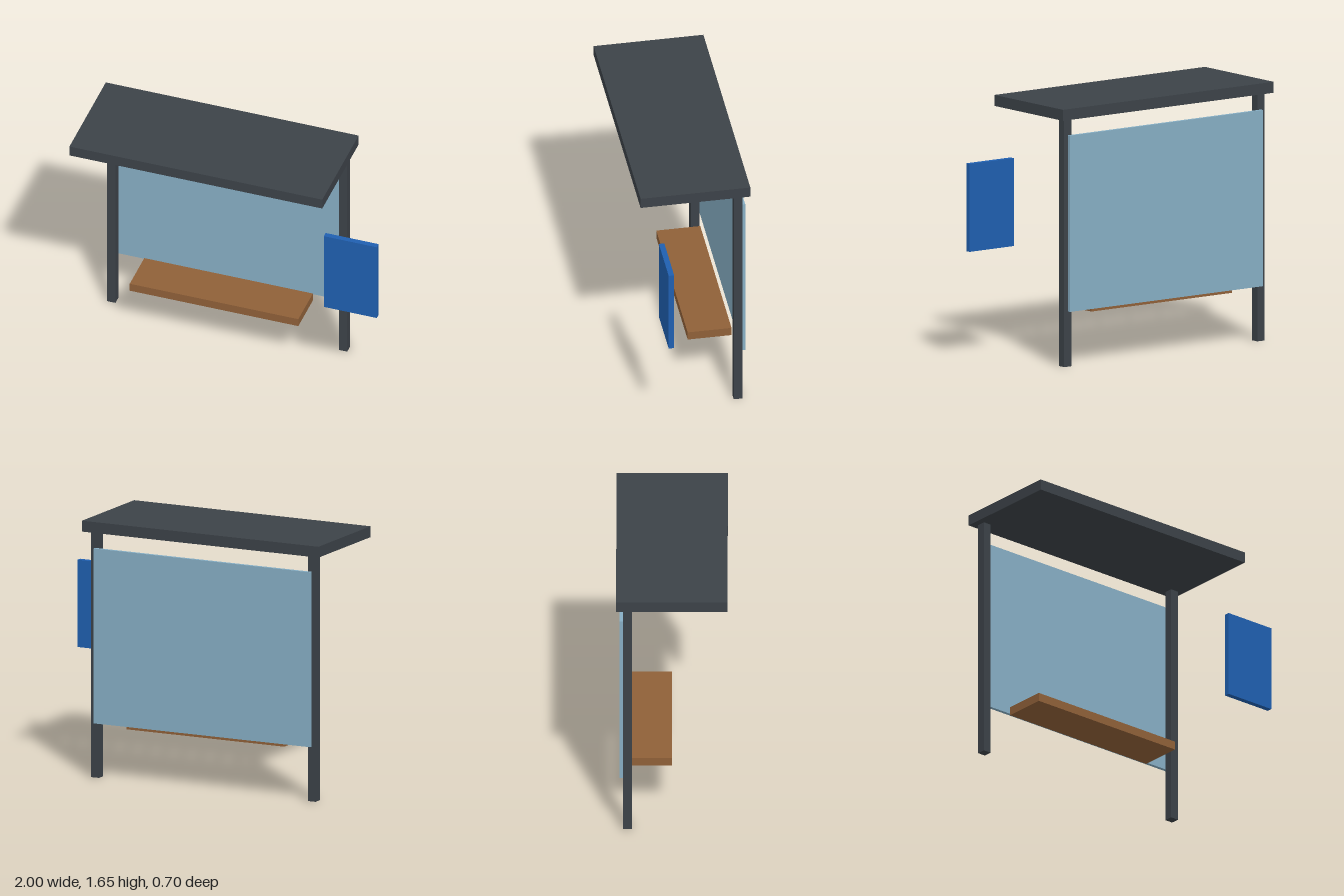
import * as THREE from 'three';

export function createModel() {
  const model = new THREE.Group();
  model.name = 'shelter';

  const mat = (name, color) => {
    const m = new THREE.MeshStandardMaterial({ color });
    m.name = name;
    return m;
  };
  const steel = mat('dark steel', 0x3c4248);
  const glass = mat('pale blue glass', 0x86aec4);
  const blue = mat('sign blue', 0x1f5fb0);
  const wood = mat('bench wood', 0x8f6038);

  // Box given by its extents along each axis
  const box = (name, material, [x0, x1], [y0, y1], [z0, z1]) => {
    const mesh = new THREE.Mesh(new THREE.BoxGeometry(x1 - x0, y1 - y0, z1 - z0), material);
    mesh.position.set((x0 + x1) / 2, (y0 + y1) / 2, (z0 + z1) / 2);
    mesh.name = name;
    model.add(mesh);
  };

  // The shelter is centred on this x; the sign stands off to its left
  const cx = -0.16, postOffset = 0.77, postHalf = 0.028;

  box('roof', steel, [cx - 0.84, cx + 0.84], [1.58, 1.65], [-0.35, 0.35]);

  // Two rear posts
  for (const side of [-1, 1]) {
    const x = cx + side * postOffset;
    box(side < 0 ? 'rightPost' : 'leftPost', steel,
      [x - postHalf, x + postHalf], [0, 1.58], [-0.308, -0.252]);
  }

  // Glass panel fixed behind the posts
  box('backPanel', glass, [cx - postOffset, cx + postOffset], [0.352, 1.475], [-0.33, -0.308]);

  // Bench running forward from the post line
  box('bench', wood, [cx - 0.56, cx + 0.56], [0.325, 0.38], [-0.28, 0]);

  // Sign panel beside the shelter
  box('signPanel', blue, [0.648, 1], [0.705, 1.265], [0.193, 0.228]);

  return model;
}
